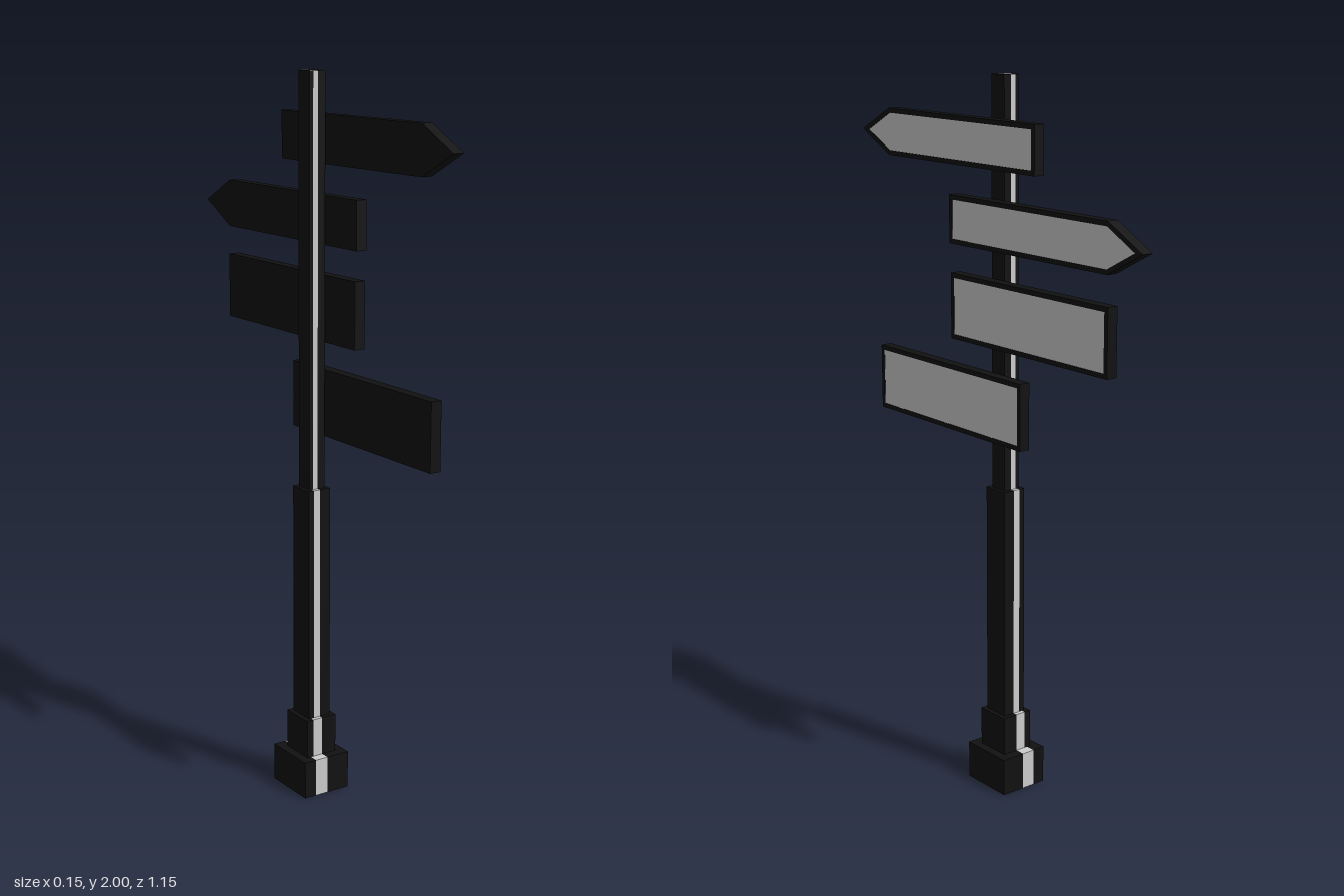
import * as THREE from 'three';

const black = new THREE.MeshStandardMaterial({ color: 0x111111 });
const grey = new THREE.MeshStandardMaterial({ color: 0xcccccc });

function box(name, [x0, x1], [y0, y1], [z0, z1], material) {
  const mesh = new THREE.Mesh(new THREE.BoxGeometry(x1 - x0, y1 - y0, z1 - z0), material);
  mesh.position.set((x0 + x1) / 2, (y0 + y1) / 2, (z0 + z1) / 2);
  mesh.name = name;
  return mesh;
}

// One post tier: two dark sides with a pale strip set flush between them
function postTier({ name, x, y, z, strip }) {
  const tier = new THREE.Group();
  tier.name = name;
  tier.add(
    box(name + 'RightSide', [x[0], strip], y, z, black),
    box(name + 'Strip', [strip, 0], y, z, grey),
    box(name + 'LeftSide', [0, x[1]], y, z, black),
  );
  return tier;
}

// Sign outline, shrunk inward by inset; x runs along -z of the model.
// The end is square unless the sign has a point.
function signOutline({ tail, end, y, point = 0 }, inset) {
  const dir = Math.sign(end - tail);
  const mid = (y[0] + y[1]) / 2;
  const half = (y[1] - y[0]) / 2;
  const h = half - inset;
  const start = -(tail + dir * inset);
  const tipInset = point ? inset * Math.hypot(half, point) / half : inset;
  const tip = -(end - dir * tipInset);
  const shoulder = tip + dir * point * h / half;
  const points = [[start, mid - h], [shoulder, mid - h]];
  if (point) points.push([tip, mid]);
  points.push([shoulder, mid + h], [start, mid + h]);
  return points.map(([px, py]) => new THREE.Vector2(px, py));
}

// Extrude an outline along +x between two planes
function slab(name, shape, x0, x1, material) {
  const geometry = new THREE.ExtrudeGeometry(shape, { depth: x1 - x0, bevelEnabled: false });
  geometry.rotateY(Math.PI / 2).translate(x0, 0, 0);
  const mesh = new THREE.Mesh(geometry, material);
  mesh.name = name;
  return mesh;
}

function signBoard(spec) {
  const sign = new THREE.Group();
  sign.name = spec.name;
  const inner = signOutline(spec, 0.013);
  const rim = new THREE.Shape(signOutline(spec, 0));
  rim.holes.push(new THREE.Path(inner));
  const mid = (spec.y[0] + spec.y[1]) / 2;
  sign.add(
    slab('signBack', new THREE.Shape(signOutline(spec, 0)), 0.028, 0.05, black),
    slab('signRim', rim, 0.05, 0.06, black),
    slab('signPanel', new THREE.Shape(inner), 0.05, 0.059, grey),
    box('signMount', [0.015, 0.03], [mid - 0.03, mid + 0.03], [0, 0.03], black),
  );
  return sign;
}

export function createModel() {
  const model = new THREE.Group();
  model.name = 'signpost';

  // Stepped post, widest at the ground
  const tiers = [
    { name: 'base', x: [-0.075, 0.07], y: [0, 0.107], z: [-0.065, 0.095], strip: -0.038 },
    { name: 'collar', x: [-0.05, 0.045], y: [0.107, 0.217], z: [-0.035, 0.068], strip: -0.03 },
    { name: 'lowerPost', x: [-0.037, 0.033], y: [0.217, 0.88], z: [-0.022, 0.056], strip: -0.02 },
    { name: 'upperPost', x: [-0.026, 0.023], y: [0.88, 2], z: [-0.01, 0.043], strip: -0.015 },
  ];
  for (const tier of tiers) model.add(postTier(tier));

  // Boards on the left side of the post, pointing forward or backward
  const signs = [
    { name: 'topArrowSign', tail: -0.175, end: 0.577, y: [1.758, 1.888], point: 0.125 },
    { name: 'secondArrowSign', tail: 0.18, end: -0.577, y: [1.545, 1.677], point: 0.125 },
    { name: 'upperBoardSign', tail: 0.175, end: -0.457, y: [1.283, 1.465] },
    { name: 'lowerBoardSign', tail: -0.12, end: 0.508, y: [1.023, 1.208] },
  ];
  for (const sign of signs) model.add(signBoard(sign));

  return model;
}
